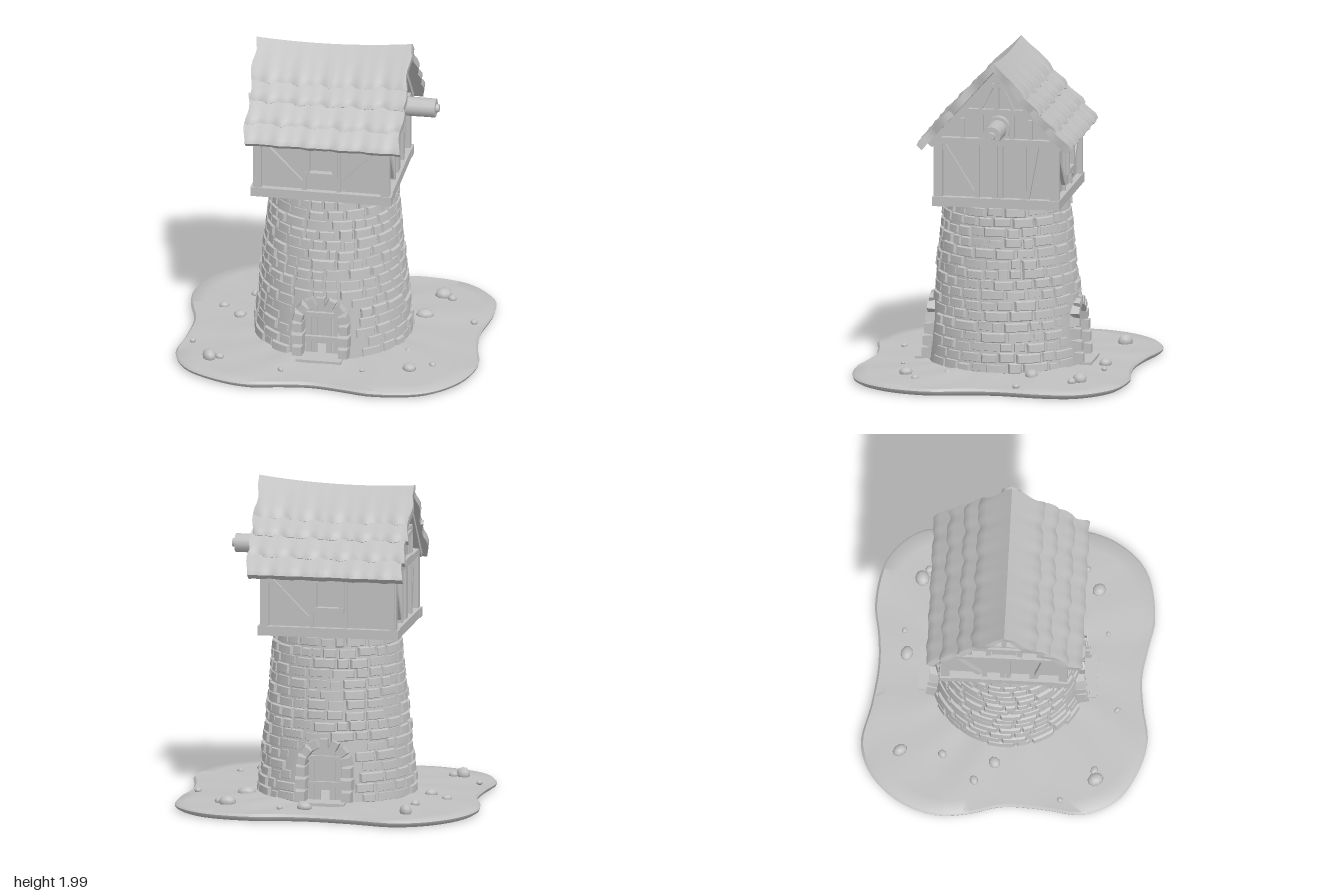
import * as THREE from 'three';
import { mergeGeometries, toCreasedNormals } from 'three/addons/utils/BufferGeometryUtils.js';

const stoneGrey = new THREE.MeshStandardMaterial({ color: 0xc0c0c0, side: THREE.DoubleSide });
stoneGrey.name = 'plainGrey';

let seed = 7;
const rnd = (a = 0, b = 1) => {
  seed = (seed * 16807) % 2147483647;
  return a + (b - a) * (seed / 2147483647);
};

function add(parent, geo, name, x = 0, y = 0, z = 0) {
  const m = new THREE.Mesh(geo, stoneGrey);
  m.name = name;
  m.position.set(x, y, z);
  parent.add(m);
  return m;
}

// Move every vertex of a geometry by a rule
function warp(geo, rule) {
  const p = geo.attributes.position, v = new THREE.Vector3();
  for (let i = 0; i < p.count; i++) {
    rule(v.fromBufferAttribute(p, i));
    p.setXYZ(i, v.x, v.y, v.z);
  }
  return geo;
}

// Box whose outer (+z) face is pinched, like a worn stone
const wornBox = (w, h, d, sx = 3) => warp(new THREE.BoxGeometry(w, h, d, sx, 2, 2), v => {
  if (v.z > d * 0.4) {
    v.x -= Math.sign(v.x) * Math.min(0.012, w * 0.12) * (Math.abs(v.x) > w * 0.45 ? 1 : 0);
    v.y *= 0.78;
  }
});

const towerRadius = y => 0.478 - 0.1 * (y - 0.05);

function makeGround(root) {
  const rim = [[-.52, -.88], [-.25, -.83], [0, -.8], [.2, -.81], [.4, -.84], [.7, -.78], [.88, -.6], [.91, -.4],
    [.88, -.1], [.9, .1], [.945, .33], [.88, .6], [.7, .8], [.38, .87], [.2, .84], [0, .81], [-.2, .83], [-.4, .865],
    [-.6, .82], [-.8, .7], [-.9, .5], [-.88, .25], [-.875, 0], [-.93, -.2], [-.95, -.4], [-.88, -.62], [-.72, -.8]];
  const pts = new THREE.CatmullRomCurve3(rim.map(([x, z]) => new THREE.Vector3(x, 0, z)), true).getSpacedPoints(120);
  // rings of [scale, height] from the underside centre, round the rim, to the top centre
  const rings = [[0, 0], [.97, 0], [.995, .015], [1, .03], [.985, .045], [.9, .046], [.7, .052], [.52, .06], [0, .06]];
  const pos = [], idx = [], n = pts.length;
  rings.forEach(([s, h], r) => pts.forEach((p, i) => {
    const a = i / (n - 1) * Math.PI * 2;
    const ripple = r > 4 && r < 8 ? 0.007 * Math.sin(a * 9 + r) * Math.sin(a * 4 + 1) : 0;
    pos.push(p.x * s, h + ripple, p.z * s);
    if (r && i) {
      const b = r * n + i, c = b - n;
      idx.push(c - 1, c, b, c - 1, b, b - 1);
    }
  }));
  const g = new THREE.BufferGeometry();
  g.setAttribute('position', new THREE.Float32BufferAttribute(pos, 3));
  g.setIndex(idx);
  add(root, toCreasedNormals(g, 0.8), 'ground');

  // scattered rocks: x, z, size
  [[-.55, -.64, .05], [-.56, -.38, .03], [-.72, -.18, .03], [-.6, -.06, .04], [.08, -.63, .045], [.23, -.65, .02],
    [.57, -.56, .05], [.63, -.52, .028], [.82, -.21, .025], [.51, -.25, .05], [.5, .27, .025], [.68, .44, .025],
    [.55, .52, .045], [-.68, .56, .05], [-.62, .55, .03], [-.22, .67, .02], [.27, .59, .015], [-.82, .35, .02]]
    .forEach(([x, z, s]) => {
      const rock = add(root, new THREE.SphereGeometry(s, 9, 6), 'rock', x, 0.05 + s * 0.25, z);
      rock.scale.set(rnd(.7, .9), rnd(.65, .85), rnd(.9, 1.15));
      rock.rotation.y = rnd(0, 3);
    });
}

function makeTower(root) {
  const tower = new THREE.Group();
  tower.name = 'tower';
  tower.position.set(-0.01, 0, -0.005);
  root.add(tower);

  // Shell with an arched opening cut front and back
  const core = new THREE.CylinderGeometry(towerRadius(1.08), towerRadius(.04), 1.04, 160, 52, true).translate(0, .56, 0);
  const p = core.attributes.position, old = core.index.array, keep = [];
  for (let i = 0; i < old.length; i += 3) {
    const t = [old[i], old[i + 1], old[i + 2]];
    const x = t.reduce((s, k) => s + p.getX(k) / 3, 0), y = t.reduce((s, k) => s + p.getY(k) / 3, 0);
    if (!(Math.abs(x) < .12 && (y < .285 || Math.hypot(x, y - .285) < .12))) keep.push(...t);
  }
  core.setIndex(keep);
  add(tower, core, 'towerWall');

  // Irregular courses of curved stones
  const stones = [], rows = 16, rowH = 1.02 / rows;
  for (let r = 0; r < rows; r++) {
    const yMid = .05 + (r + .5) * rowH, rad = towerRadius(yMid);
    let a = rnd(0, .3);
    const end = a + Math.PI * 2;
    while (a < end - .08) {
      const w = Math.min(rnd(.16, .38), end - a), mid = a + w / 2, x = Math.sin(mid) * rad;
      a += w;
      if (yMid < .46 && Math.abs(x) - w * rad / 2 < (yMid < .3 ? .14 : .11)) continue;
      const out = rnd(.004, .019), dy = rnd(-.006, .006), h = rowH * rnd(.82, 1);
      stones.push(warp(wornBox((w - .016) * rad, h, .03, 4), v => {
        const y = yMid + v.y + dy, ang = mid + v.x / rad;
        const R = towerRadius(y) + v.z - .015 + out;
        v.set(Math.sin(ang) * R, y, Math.cos(ang) * R);
      }));
    }
  }
  add(tower, toCreasedNormals(mergeGeometries(stones), .9), 'towerStones');

  // Doorways, front and back
  for (const turn of [0, Math.PI]) {
    const door = new THREE.Group();
    door.name = 'doorway';
    door.rotation.y = turn;
    tower.add(door);
    const face = y => .452 - (y - .07) * .1;
    for (const s of [-1, 1]) for (let i = 0; i < 3; i++) {
      const y = .1 + i * .075;
      add(door, wornBox(.07 + (i % 2) * .012, .072, .1), 'jambStone', s * .142, y, face(y));
    }
    for (let i = 0; i < 7; i++) {
      const a = (i + .5) / 7 * Math.PI, y = .285 + Math.sin(a) * .142;
      const m = add(door, wornBox(.062, .068, .1), 'archStone', Math.cos(a) * .142, y, face(y));
      m.rotation.z = a - Math.PI / 2;
    }
    add(door, new THREE.BoxGeometry(.28, .03, .14), 'doorStep', 0, .055, .475);
    for (const x of [-.083, -.045, .045, .083]) add(door, new THREE.BoxGeometry(.034, .3 + (.083 - Math.abs(x)) * 1.4, .015), 'doorPlank', x, .21, .415);
    add(door, new THREE.BoxGeometry(.06, .26, .012), 'doorPlank', 0, .26, .412);
    for (const y of [.17, .33]) add(door, new THREE.BoxGeometry(.21, .028, .025), 'doorRail', 0, y, .43);
  }
}

function makeHouse(root) {
  const house = new THREE.Group();
  house.name = 'timberHouse';
  house.position.set(-.022, 0, -.01);
  root.add(house);

  // Plaster body, a gabled outline run along x
  const s = new THREE.Shape([[-.355, 1.09], [.355, 1.09], [.355, 1.48], [0, 1.89], [-.355, 1.48]].map(q => new THREE.Vector2(...q)));
  const body = new THREE.ExtrudeGeometry(s, { depth: .77, bevelEnabled: false }).translate(0, 0, -.385).rotateY(Math.PI / 2);
  add(house, body, 'plasterWalls');
  add(house, new THREE.BoxGeometry(.84, .03, .75), 'floor', 0, 1.09, 0);

  const side = (name, turn) => {
    const g = new THREE.Group();
    g.name = name;
    g.rotation.y = turn;
    house.add(g);
    return g;
  };
  // Beam from (u0, v0) to (u1, v1) on a wall whose face is at depth d
  const beam = (g, name, d, u0, v0, u1, v1, w = .035, t = .05) => {
    const m = add(g, new THREE.BoxGeometry(Math.hypot(u1 - u0, v1 - v0), w, t), name, (u0 + u1) / 2, (v0 + v1) / 2, d);
    m.rotation.z = Math.atan2(v1 - v0, u1 - u0);
  };

  for (const turn of [0, Math.PI]) {
    const g = side('longWall', turn), d = .358;
    beam(g, 'sill', d, -.436, 1.1, .436, 1.1, .058, .07);
    beam(g, 'topBeam', d, -.42, 1.46, .42, 1.46, .05);
    for (const k of [-1, 1]) {
      beam(g, 'cornerPost', d, k * .4, 1.1, k * .4, 1.46, .045);
      beam(g, 'windowPost', d, k * .105, 1.1, k * .105, 1.46, .022, .035);
      beam(g, 'brace', d, k * .385, 1.44, k * .13, 1.18, .035, .04);
      beam(g, 'windowJamb', d + .012, k * .085, 1.23, k * .085, 1.43, .03);
    }
    for (const y of [1.24, 1.425]) beam(g, 'windowRail', d + .014, -.1, y, .1, y, .032);
  }

  for (const turn of [Math.PI / 2, -Math.PI / 2]) {
    const g = side('gableWall', turn), d = .392;
    beam(g, 'sill', d + .005, -.39, 1.1, .39, 1.1, .058, .07);
    beam(g, 'tieBeam', d + .005, -.39, 1.48, .39, 1.48, .04, .06);
    beam(g, 'collarBeam', d, -.2, 1.665, .2, 1.665, .035);
    for (const u of [-.365, -.12, -.01, .025, .17, .365]) beam(g, 'post', d, u, 1.1, u, 1.48, Math.abs(u) > .3 ? .045 : .03, .045);
    beam(g, 'brace', d, -.33, 1.45, -.15, 1.16, .032, .04);
    beam(g, 'brace', d, .25, 1.46, .19, 1.13, .025, .04);
    beam(g, 'kingPost', d, 0, 1.66, 0, 1.88, .03);
    for (const k of [-1, 1]) {
      beam(g, 'rafter', d + .01, k * .41, 1.45, 0, 1.905, .04, .06);
      beam(g, 'gablePost', d, k * .095, 1.48, k * .095, 1.67, .03);
      beam(g, 'gablePost', d, k * .21, 1.48, k * .21, 1.62, .025, .04);
      beam(g, 'strut', d, k * .02, 1.84, k * .1, 1.68, .022, .04);
    }
    if (turn < 0) { // hatch in the far gable
      add(g, new THREE.BoxGeometry(.15, .15, .03), 'hatch', 0, 1.575, d);
      for (const k of [-1, 1]) beam(g, 'hatchRail', d + .015, -.1, 1.575 + k * .075, .1, 1.575 + k * .075, .03);
    }
  }
}

function makeRoof(root) {
  const ang = Math.atan(.52 / .465), c = Math.cos(ang), sn = Math.sin(ang), L = .665;
  const roof = new THREE.Group();
  roof.name = 'roof';
  roof.position.z = -.008;
  root.add(roof);
  // place a point at x, distance s down the slope and height n above it
  const place = (v, x, s, n, k) => v.set(x, 1.928 - s * sn + n * c + (.03 * x + .1 * x * x - .03) * (1 - s / L), k * (s * c + n * sn));
  const courses = [[0, .25], [.19, .38], [.33, .53], [.47, L]];
  for (const k of [-1, 1]) courses.forEach(([s0, s1], r) => {
    const ph = rnd(0, 6), wave = r === 3 ? .004 : .012;
    const g = warp(new THREE.BoxGeometry(1, 1, 1, 60, 1, 6), v => {
      const t = v.z + .5, top = v.y > 0, x0 = v.x * .96;
      const w = Math.sin(x0 * 31 + ph) * .6 + Math.sin(x0 * 67 + ph * 2) * .4;
      let s = s0 + (s1 - s0) * t + wave * w * t;
      const round = t > .9 ? .76 : 1;
      const n = top ? (.036 + .02 * t + .005 * w * t) * round : 0;
      if (r === 0 && t === 0) s = -n * sn / c; // meet at the ridge
      const edge = Math.abs(v.x) > .495 ? .01 * Math.sin(s * 25 + ph) : 0;
      place(v, x0 - .008 + edge, s, n, k);
    });
    // mirrored slope needs its corners reversed
    if (k < 0) g.index.array.reverse();
    add(roof, toCreasedNormals(g, .7), 'roofCourse');
  });
}

export function createModel() {
  const root = new THREE.Group();
  root.name = 'towerMill';
  makeGround(root);
  makeTower(root);
  makeHouse(root);
  makeRoof(root);

  // Sail axle sticking out of the gable
  const axle = new THREE.Group();
  axle.name = 'axle';
  axle.position.set(.36, 1.565, -.02);
  axle.rotation.z = -Math.PI / 2;
  root.add(axle);
  add(axle, new THREE.CylinderGeometry(.058, .06, .26, 12), 'axleShaft', 0, .13, 0);
  add(axle, new THREE.CylinderGeometry(.025, .03, .03, 8), 'axleTip', 0, .265, 0);
  add(axle, new THREE.CylinderGeometry(.078, .078, .07, 12), 'axleCollar', 0, .02, 0);
  return root;
}
